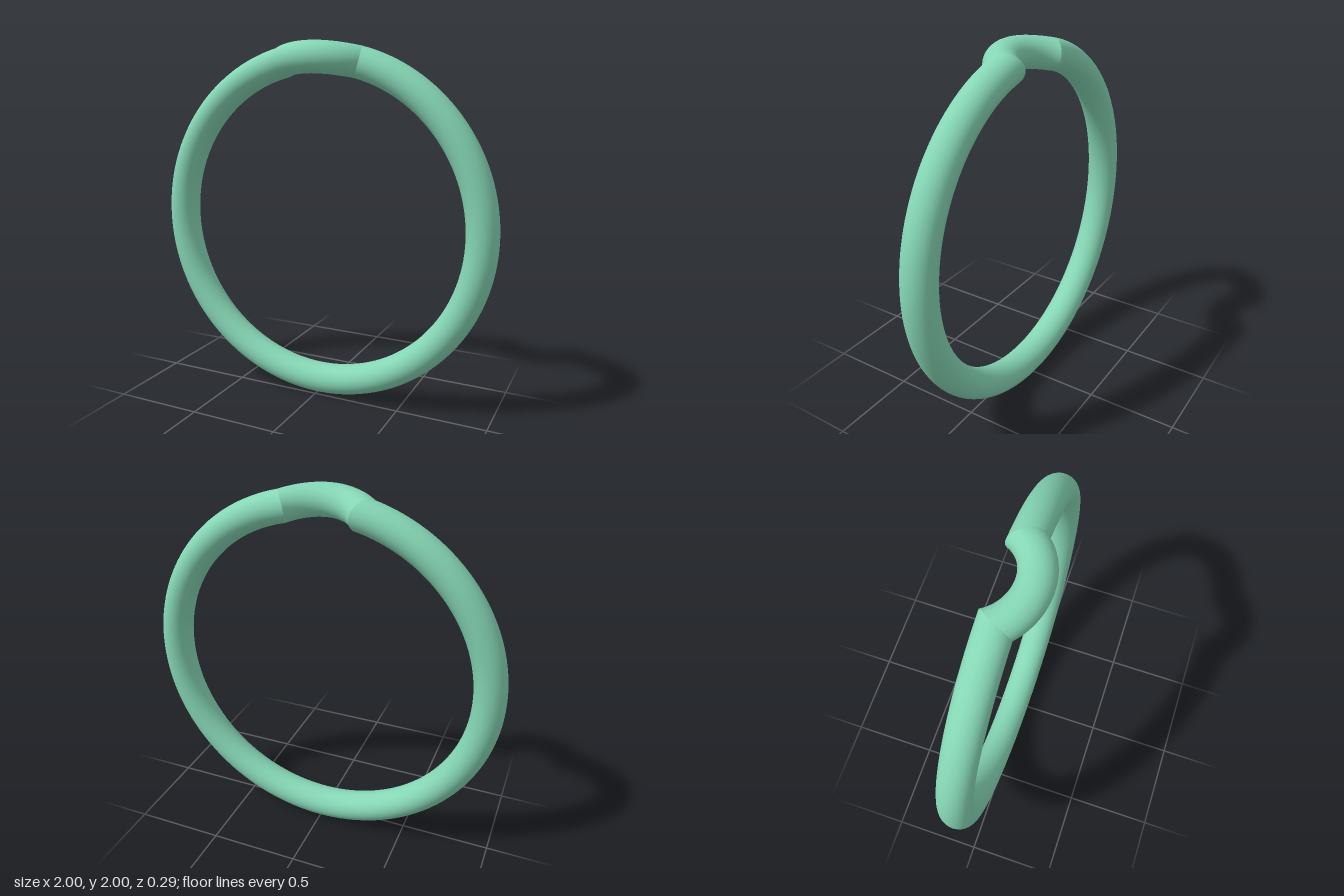
import * as THREE from 'three';

const RING = 0.915;              // centreline radius of the hoop
const HALF_R = 0.085;            // tube half thickness, radial
const HALF_Z = 0.091;            // tube half thickness, front to back
const RING_Z = -0.055;
const BEND = 0.283;              // radius of the forward bend
const BEND_Z = RING_Z - 0.178;   // centre of the bend
const SIDES = 40;

// Angle at which a tube fibre leaves the bend and meets the hoop (mitred joint)
const jointAngle = (off) => Math.acos((RING_Z + off - BEND_Z) / (BEND + off));

// Sweep an elliptical section; fibre(t, off) gives distance along the hoop and z
function sweep(name, steps, material, fibre) {
  const pos = [], index = [];
  for (let i = 0; i <= steps; i++) {
    for (let j = 0; j < SIDES; j++) {
      const phi = (j / SIDES) * Math.PI * 2;
      const [s, z] = fibre(i / steps, HALF_Z * Math.sin(phi));
      const r = RING + HALF_R * Math.cos(phi);
      pos.push(r * Math.sin(s / RING), 1 + r * Math.cos(s / RING), z);
      if (i === steps) continue;
      const a = i * SIDES + j, b = i * SIDES + (j + 1) % SIDES;
      index.push(a, b, a + SIDES, b, b + SIDES, a + SIDES);
    }
  }
  const geo = new THREE.BufferGeometry();
  geo.setAttribute('position', new THREE.Float32BufferAttribute(pos, 3));
  geo.setIndex(index);
  geo.computeVertexNormals();
  const mesh = new THREE.Mesh(geo, material);
  mesh.name = name;
  return mesh;
}

export function createModel() {
  const group = new THREE.Group();
  group.name = 'ring';
  const material = new THREE.MeshStandardMaterial({ color: 0x85d6b5 });

  // Flat hoop running from one side of the bend round to the other
  group.add(sweep('hoop', 140, material, (t, off) => {
    const s = (BEND + off) * Math.sin(jointAngle(off));
    return [THREE.MathUtils.lerp(s, 2 * Math.PI * RING - s, t), RING_Z + off];
  }));

  // Short section at the top bowing forwards
  group.add(sweep('forwardBend', 36, material, (t, off) => {
    const b = jointAngle(off) * (2 * t - 1);
    return [(BEND + off) * Math.sin(b), BEND_Z + (BEND + off) * Math.cos(b)];
  }));

  return group;
}
